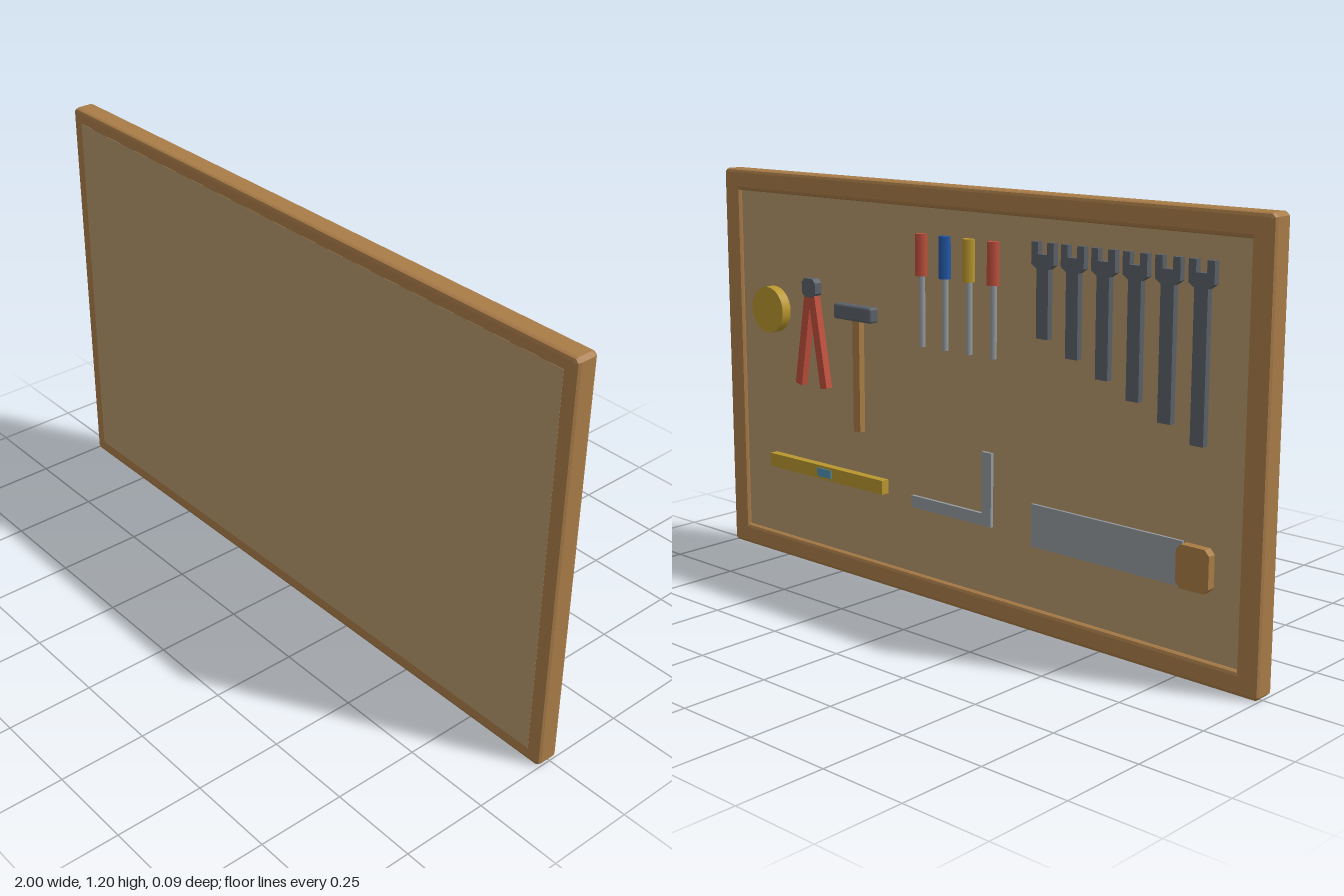
import * as THREE from 'three';
import { RoundedBoxGeometry } from 'three/addons/geometries/RoundedBoxGeometry.js';

const COLORS = {
  frame: 0xa97c48, panel: 0xb4966c, wood: 0xa87c44, red: 0xc0503c,
  blue: 0x2458a8, yellow: 0xb8962e, steel: 0x5a6068, bright: 0x959a9e, vial: 0x4f92b0,
};
const materials = {};
for (const key in COLORS) materials[key] = new THREE.MeshStandardMaterial({ color: COLORS[key] });

const BACK = -0.01; // panel surface that carries the tools

export function createModel() {
  const model = new THREE.Group();

  const add = (name, geometry, color, x, y, z, parent = model) => {
    const mesh = new THREE.Mesh(geometry, materials[color]);
    mesh.name = name;
    mesh.position.set(x, y, z);
    parent.add(mesh);
    return mesh;
  };
  const group = (name, x = 0, y = 0) => {
    const g = new THREE.Group();
    g.name = name;
    g.position.set(x, y, 0);
    model.add(g);
    return g;
  };
  // box fixed to the panel, reaching out to z = front; r rounds its edges
  const block = (name, w, h, front, color, x, y, parent = model, r = 0) => {
    const d = BACK - front + 0.004;
    const geo = r ? new RoundedBoxGeometry(w, h, d, 2, r) : new THREE.BoxGeometry(w, h, d);
    return add(name, geo, color, x, y, front + d / 2, parent);
  };
  // flat outline fixed to the panel
  const plate = (name, points, front, color, x, y, parent = model) => {
    const shape = new THREE.Shape(points.map(([px, py]) => new THREE.Vector2(px, py)));
    const geo = new THREE.ExtrudeGeometry(shape, { depth: BACK - front + 0.004, bevelEnabled: false });
    return add(name, geo, color, x, y, front, parent);
  };
  // rectangle with clipped corners
  const clipped = (w, h, c) => {
    const a = w / 2, b = h / 2;
    return [[-a + c, -b], [a - c, -b], [a, -b + c], [a, b - c], [a - c, b], [-a + c, b], [-a, b - c], [-a, -b + c]];
  };
  const toVectors = (points) => points.map(([x, y]) => new THREE.Vector2(x, y));

  // Bevelled picture-like frame
  const bevel = 0.011;
  const frameShape = new THREE.Shape(toVectors(clipped(2, 1.2, 0.01)));
  frameShape.holes.push(new THREE.Path(toVectors([[-0.935, -0.535], [-0.935, 0.535], [0.935, 0.535], [0.935, -0.535]])));
  const frameGeo = new THREE.ExtrudeGeometry(frameShape, {
    depth: 0.0675 - 2 * bevel, bevelThickness: bevel, bevelSize: bevel, bevelOffset: -bevel, bevelSegments: 2,
  });
  add('frame', frameGeo, 'frame', 0, 0.6, -0.025 + bevel);

  // Board
  add('board', new THREE.BoxGeometry(1.92, 1.12, 0.053), 'panel', 0, 0.6, BACK + 0.0265);

  // Tape measure
  const tape = add('tapeMeasure', new THREE.CylinderGeometry(0.071, 0.071, 0.034, 32), 'yellow', 0.79, 0.78, -0.025);
  tape.rotation.x = Math.PI / 2;

  // Pliers: two splayed handles under a chunky head
  const pliers = group('pliers', 0.607, 0.865);
  plate('pliersHead', clipped(0.058, 0.056, 0.012), -0.036, 'steel', 0, 0, pliers);
  for (const side of [-1, 1]) {
    const handle = block('pliersHandle', 0.028, 0.29, -0.033, 'red', side * 0.031, -0.157, pliers);
    handle.rotation.z = side * 0.17;
  }

  // Hammer
  const hammer = group('hammer', 0.415, 0.81);
  block('hammerHead', 0.158, 0.046, -0.042, 'steel', 0, 0, hammer, 0.008);
  block('hammerHandle', 0.028, 0.34, -0.03, 'wood', -0.005, -0.185, hammer);

  // Screwdrivers
  ['red', 'blue', 'yellow', 'red'].forEach((color, i) => {
    const driver = group('screwdriver', 0.15 - i * 0.09, 0);
    const handleGeo = new THREE.CylinderGeometry(0.018, 0.018, 0.118, 8);
    add('screwdriverHandle', handleGeo, color, 0, 1.003, -0.018, driver);
    add('screwdriverShaft', new THREE.CylinderGeometry(0.009, 0.009, 0.205, 8), 'bright', 0, 0.845, -0.017, driver);
  });

  // Open-ended wrenches, each longer than the last
  for (let i = 0; i < 6; i++) {
    const bottom = 0.82 - i * 0.041 - 1.075;
    const outline = [
      [-0.02, bottom], [0.02, bottom], [0.02, -0.07], [0.038, -0.058], [0.038, 0], [0.016, 0],
      [0.016, -0.032], [-0.016, -0.032], [-0.016, 0], [-0.038, 0], [-0.038, -0.058], [-0.02, -0.07],
    ];
    plate('wrench', outline, -0.028, 'steel', -0.3 - i * 0.1, 1.075);
  }

  // Spirit level
  const level = group('spiritLevel', 0.55, 0.305);
  block('levelBody', 0.5, 0.042, -0.036, 'yellow', 0, 0, level);
  block('levelVial', 0.06, 0.026, -0.039, 'vial', 0, 0, level);

  // Try square
  const square = [[-0.115, 0.265], [0.195, 0.265], [0.195, 0.3], [-0.08, 0.3], [-0.08, 0.477], [-0.115, 0.477]];
  plate('trySquare', square, -0.02, 'bright', 0, 0);

  // Hand saw
  const saw = group('handSaw');
  block('sawBlade', 0.5, 0.12, -0.018, 'bright', -0.51, 0.302, saw);
  plate('sawHandle', clipped(0.1, 0.115, 0.014), -0.035, 'wood', -0.803, 0.302, saw);

  return model;
}
